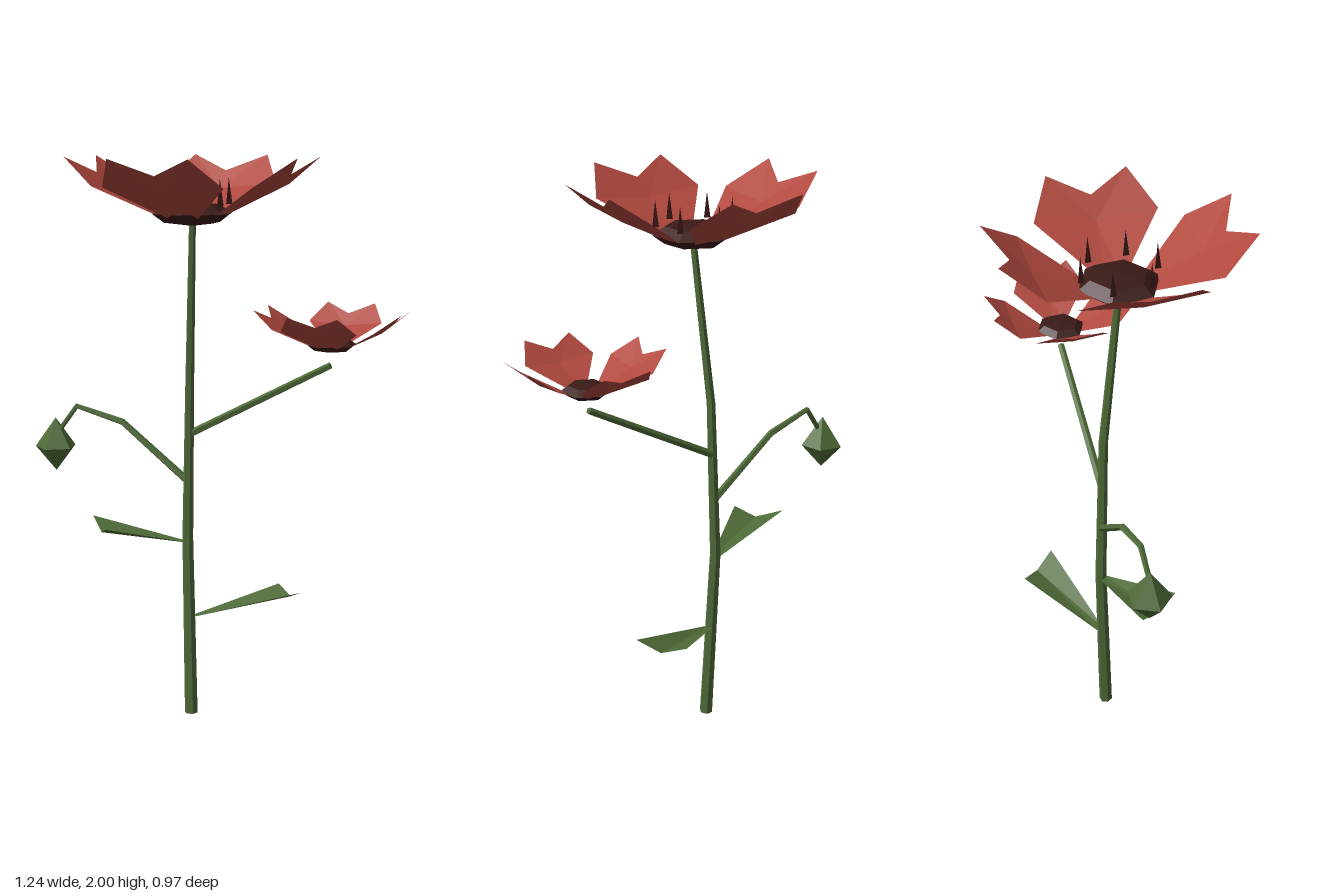
import * as THREE from 'three';

const paint = (color, side = THREE.FrontSide) =>
  new THREE.MeshStandardMaterial({ color, side, flatShading: true });
const green = paint(0x4f6b38);
const leafGreen = paint(0x4f6b38, THREE.DoubleSide);
const red = paint(0xb0483e, THREE.DoubleSide);
const dark = paint(0x3a1a17);

function part(geometry, material, name) {
  const mesh = new THREE.Mesh(geometry, material);
  mesh.name = name;
  return mesh;
}

// Faceted surface from corner points and triangles
function facets(points, triangles) {
  const g = new THREE.BufferGeometry();
  g.setAttribute('position', new THREE.Float32BufferAttribute(points.flat(), 3));
  g.setIndex(triangles.flat());
  const flat = g.toNonIndexed();
  flat.computeVertexNormals();
  return flat;
}

// Tapered stalk with a ring of corners at every point and closed ends
function stalk(path, r0, r1, sides = 6) {
  const pts = path.map(p => new THREE.Vector3(...p));
  const up = new THREE.Vector3(0, 1, 0);
  const verts = [], tris = [], last = pts.length - 1;
  pts.forEach((p, i) => {
    const dir = new THREE.Vector3();
    if (i > 0) dir.add(p.clone().sub(pts[i - 1]).normalize());
    if (i < last) dir.add(pts[i + 1].clone().sub(p).normalize());
    const q = new THREE.Quaternion().setFromUnitVectors(up, dir.normalize());
    const r = THREE.MathUtils.lerp(r0, r1, i / last);
    for (let k = 0; k < sides; k++) {
      const a = k / sides * Math.PI * 2;
      verts.push(new THREE.Vector3(r * Math.sin(a), 0, r * Math.cos(a)).applyQuaternion(q).add(p).toArray());
    }
  });
  for (let i = 0; i < last; i++) for (let k = 0; k < sides; k++) {
    const a = i * sides + k, b = i * sides + (k + 1) % sides;
    tris.push([a, b, b + sides], [a, b + sides, a + sides]);
  }
  for (let k = 1; k < sides - 1; k++) {
    const t = last * sides;
    tris.push([0, k + 1, k], [t, t + k, t + k + 1]);
  }
  return facets(verts, tris);
}

// Notched petal pointing along +z, rising outwards, creased along its middle
function petalGeometry() {
  return facets([
    [-0.03, 0.01, 0.06], [0.03, 0.01, 0.06], [0, 0.115, 0.28],
    [-0.21, 0.135, 0.28], [0.21, 0.135, 0.28],
    [-0.137, 0.23, 0.412], [0.137, 0.23, 0.412], [0, 0.175, 0.35],
  ], [[0, 3, 2], [0, 2, 1], [1, 2, 4], [3, 5, 2], [5, 7, 2], [7, 6, 2], [6, 4, 2]]);
}

// Four petals around a low six-sided heart, optionally with stamens
function flower(name, stamens) {
  const group = new THREE.Group();
  group.name = name;
  const petal = petalGeometry();
  for (let i = 0; i < 4; i++) {
    const mesh = part(petal, red, 'petal');
    mesh.rotation.y = 0.426 + i * Math.PI / 2;
    group.add(mesh);
  }
  const heart = part(new THREE.SphereGeometry(0.14, 6, 4), dark, 'flowerHeart');
  heart.scale.y = 0.3;
  heart.position.y = 0.04;
  group.add(heart);
  for (let i = 0; i < stamens; i++) {
    const a = (i + 0.5) / stamens * Math.PI * 2;
    const spike = part(new THREE.ConeGeometry(0.013, 0.09, 3), dark, 'stamen');
    spike.position.set(0.13 * Math.sin(a), 0.115, 0.13 * Math.cos(a));
    group.add(spike);
  }
  return group;
}

// Leaf: narrow at the stem, broad at the end, folded down its middle
function leaf(base, cornerA, cornerB, mid) {
  const across = new THREE.Vector3(...cornerB).sub(new THREE.Vector3(...cornerA)).setLength(0.012);
  const b = new THREE.Vector3(...base);
  return facets([
    b.clone().sub(across).toArray(), b.clone().add(across).toArray(), cornerA, cornerB, mid,
  ], [[0, 4, 2], [0, 1, 4], [1, 3, 4]]);
}

export function createModel() {
  const model = new THREE.Group();
  model.name = 'floweringPlant';

  // Main stem and side stalks
  model.add(part(stalk([[-0.09, 0, 0.015], [-0.118, 0.65, 0.002], [-0.1, 1.22, 0.008], [-0.043, 1.79, 0.05]],
    0.024, 0.012), green, 'stem'));
  model.add(part(stalk([[-0.11, 1.03, 0.005], [0.35, 1.3, -0.22]], 0.014, 0.012, 5), green, 'flowerBranch'));
  model.add(part(stalk([[-0.115, 0.86, 0.005], [-0.34, 1.06, 0.11], [-0.49, 1.11, 0.195], [-0.55, 1.01, 0.235]],
    0.014, 0.009, 5), green, 'budBranch'));

  // Large and small blossoms
  const large = flower('largeFlower', 6);
  large.position.set(-0.045, 1.77, 0.05);
  const small = flower('smallFlower', 0);
  small.position.set(0.355, 1.347, -0.22);
  small.scale.setScalar(0.62);
  model.add(large, small);

  // Closed bud
  const profile = [[0, -0.09], [0.076, -0.002], [0, 0.105]].map(p => new THREE.Vector2(...p));
  const bud = part(new THREE.LatheGeometry(profile, 5), green, 'bud');
  bud.rotation.y = Math.PI / 2;
  bud.position.set(-0.56, 0.96, 0.235);
  model.add(bud);

  // Leaves
  model.add(part(leaf([-0.1, 0.36, 0], [0.04, 0.445, -0.315], [0.205, 0.458, -0.245], [0.125, 0.42, -0.285]),
    leafGreen, 'lowerLeaf'));
  model.add(part(leaf([-0.115, 0.635, 0], [-0.41, 0.718, 0.195], [-0.245, 0.71, 0.285], [-0.315, 0.68, 0.24]),
    leafGreen, 'upperLeaf'));

  return model;
}
